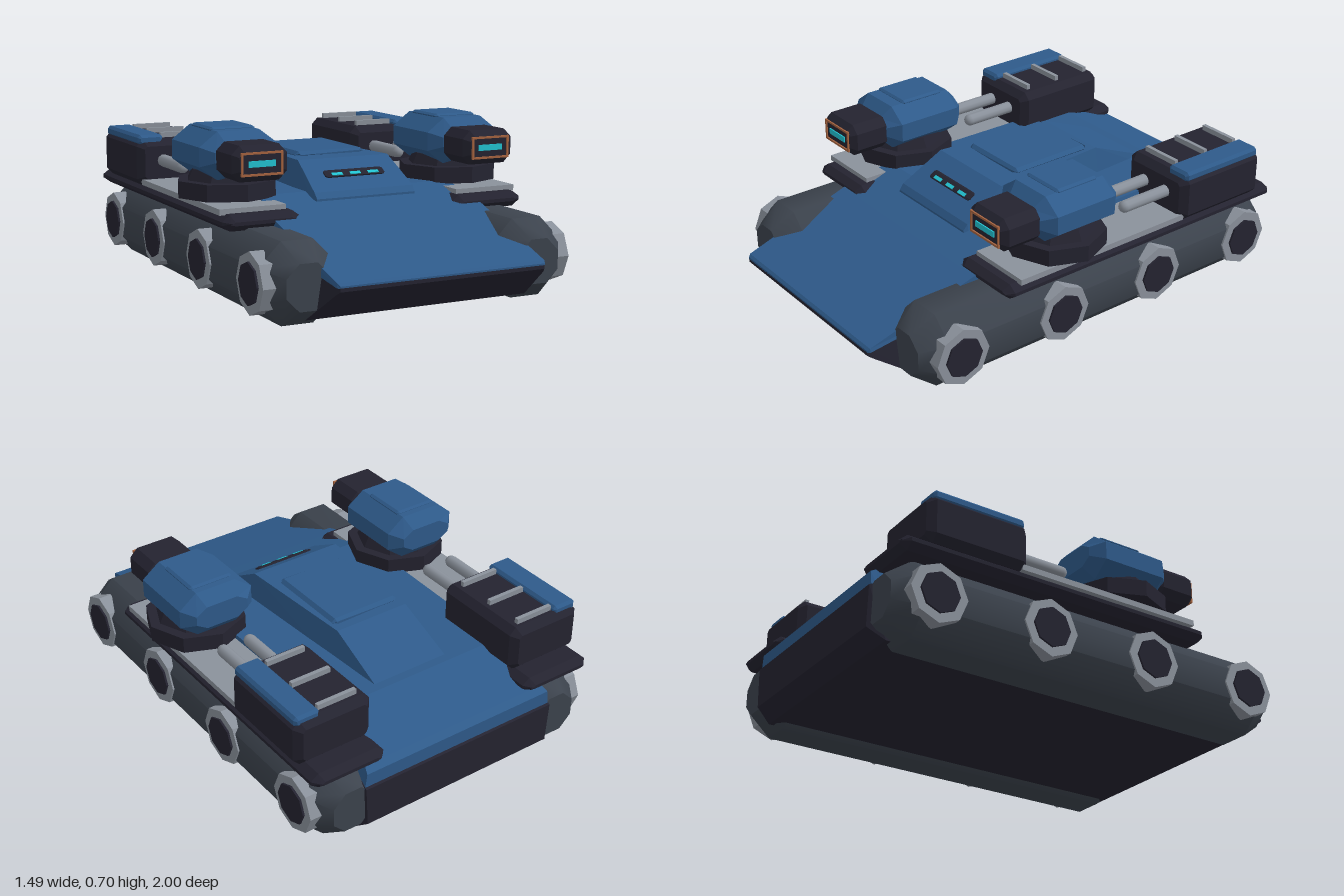
import * as THREE from 'three';
import { toCreasedNormals } from 'three/addons/utils/BufferGeometryUtils.js';

const material = (name, color) => {
  const m = new THREE.MeshStandardMaterial({ color });
  m.name = name;
  return m;
};

export function createModel() {
  const blue = material('armour blue', 0x2e5a8a);
  const navy = material('dark navy', 0x242330);
  const slate = material('slate grey', 0x3c434d);
  const silver = material('silver grey', 0x8a919b);
  const cyan = material('glowing cyan', 0x22c3d2);
  const copper = material('copper', 0xa5633f);

  const model = new THREE.Group();
  model.name = 'hoverTank';

  const add = (parent, name, geometry, mat, x = 0, y = 0, z = 0) => {
    const mesh = new THREE.Mesh(geometry, mat);
    mesh.name = name;
    mesh.position.set(x, y, z);
    parent.add(mesh);
    return mesh;
  };

  const flat = (geometry) => {
    const g = geometry.index ? geometry.toNonIndexed() : geometry;
    g.computeVertexNormals();
    return g;
  };

  // Joins rings of [x, y, z], ordered back to front, each counter-clockwise from +z
  const loft = (rings) => {
    const out = [];
    const n = rings[0].length;
    for (let i = 0; i < rings.length - 1; i++) {
      for (let j = 0; j < n; j++) {
        const k = (j + 1) % n;
        const [a, b, c, d] = [rings[i][j], rings[i][k], rings[i + 1][k], rings[i + 1][j]];
        out.push(...a, ...b, ...c, ...a, ...c, ...d);
      }
    }
    const back = rings[0], front = rings[rings.length - 1];
    for (let j = 1; j < n - 1; j++) {
      out.push(...back[0], ...back[j + 1], ...back[j]);
      out.push(...front[0], ...front[j], ...front[j + 1]);
    }
    const g = new THREE.BufferGeometry();
    g.setAttribute('position', new THREE.Float32BufferAttribute(out, 3));
    g.computeVertexNormals();
    return g;
  };

  // Four-sided section: z, bottom y, top y, bottom and top half widths
  const slab = ([z, y0, y1, b, t]) => [[-b, y0, z], [b, y0, z], [t, y1, z], [-t, y1, z]];

  // Block with its edges cut by cx, cy and cz
  const bevelBox = (w, h, d, cx, cy = cx, cz = cx) => {
    const ring = (z, ix, iy) => {
      const X = w / 2 - ix, Y = h / 2 - iy;
      const x = w / 2 - cx - ix * 0.4, y = h / 2 - cy - iy * 0.4;
      return [[-x, -Y, z], [x, -Y, z], [X, -y, z], [X, y, z],
        [x, Y, z], [-x, Y, z], [-X, y, z], [-X, -y, z]];
    };
    const ix = Math.min(cx, cz), iy = Math.min(cy, cz);
    return loft([ring(-d / 2, ix, iy), ring(-d / 2 + cz, 0, 0),
      ring(d / 2 - cz, 0, 0), ring(d / 2, ix, iy)]);
  };

  // Hull and deck
  add(model, 'lowerHull', loft([
    [-1, 0.07, 0.245, 0.46, 0.47], [-0.93, 0.02, 0.28, 0.49, 0.47],
    [0.8, 0.02, 0.21, 0.5, 0.47], [0.98, 0.15, 0.185, 0.465, 0.46], [1, 0.165, 0.18, 0.455, 0.455],
  ].map(slab)), navy);
  add(model, 'deck', loft([
    [-0.99, 0.24, 0.31, 0.47, 0.46], [-0.96, 0.24, 0.33, 0.47, 0.45],
    [-0.7, 0.25, 0.42, 0.47, 0.43], [0.27, 0.25, 0.42, 0.48, 0.45],
    [0.5, 0.25, 0.35, 0.48, 0.48], [0.99, 0.18, 0.197, 0.465, 0.462], [1, 0.178, 0.187, 0.455, 0.455],
  ].map(slab)), blue);

  // Cabin with roof panel and slotted visor
  add(model, 'cabin', loft([
    [-0.66, 0.38, 0.42, 0.19, 0.18], [-0.4, 0.38, 0.53, 0.205, 0.175],
    [0.155, 0.38, 0.535, 0.24, 0.215], [0.345, 0.38, 0.425, 0.242, 0.232], [0.365, 0.38, 0.4, 0.235, 0.23],
  ].map(slab)), blue);
  add(model, 'roofPanel', bevelBox(0.33, 0.03, 0.4, 0.015), blue, 0, 0.537, -0.16);
  const visor = new THREE.Group();
  visor.name = 'visor';
  visor.position.set(0, 0.482, 0.252);
  visor.rotation.x = 0.525;
  model.add(visor);
  add(visor, 'visorSlot', bevelBox(0.28, 0.012, 0.044, 0.02, 0.003, 0.008), navy);
  for (const x of [-0.085, 0, 0.085]) {
    add(visor, 'visorLight', new THREE.BoxGeometry(0.05, 0.008, 0.016), cyan, x, 0.004, 0.01);
  }

  const podProfile = [[0, -0.985], [0.1, -0.985], [0.178, -0.88], [0.178, 0.77], [0.1, 0.87], [0, 0.87]]
    .map(([r, z]) => new THREE.Vector2(r, z));
  const podShape = toCreasedNormals(
    new THREE.LatheGeometry(podProfile, 8, Math.PI / 8).rotateX(Math.PI / 2), 0.9);
  const wheel = (r, w) => flat(new THREE.CylinderGeometry(r, r, w, 8).rotateZ(Math.PI / 2));
  const ring = (rt, rb, h) => flat(new THREE.CylinderGeometry(rt, rb, h, 8));

  for (const s of [1, -1]) {
    const side = new THREE.Group();
    side.name = s > 0 ? 'leftSide' : 'rightSide';
    model.add(side);
    const put = (name, g, mat, x, y, z) => add(side, name, g, mat, s * x, y, z);

    // Side pod and wheels
    put('sidePod', podShape, slate, 0.52, 0.165, 0);
    for (const z of [0.71, 0.2, -0.31, -0.82]) {
      put('wheelRim', wheel(0.125, 0.06), silver, 0.662, 0.165, z);
      put('wheelHub', wheel(0.086, 0.08), navy, 0.661, 0.165, z);
    }

    // Fender with tread plate
    put('fender', bevelBox(0.34, 0.065, 1.47, 0.035, 0.025, 0.03), navy, 0.525, 0.352, -0.245);
    put('fenderPlate', new THREE.BoxGeometry(0.29, 0.025, 0.87), silver, 0.545, 0.392, -0.01);

    // Gun turret on octagonal bearings
    put('turretBase', ring(0.215, 0.215, 0.07), navy, 0.53, 0.445, 0.13);
    put('turretFoot', ring(0.15, 0.15, 0.03), silver, 0.53, 0.4, 0.13);
    put('turretNeck', ring(0.15, 0.175, 0.05), navy, 0.53, 0.5, 0.13);
    put('turretHead', bevelBox(0.345, 0.2, 0.395, 0.08, 0.06, 0.05), blue, 0.53, 0.59, 0.108);
    put('turretTopPlate', bevelBox(0.2, 0.02, 0.21, 0.012, 0.008, 0.01), blue, 0.53, 0.69, 0.095);
    put('gunBlock', bevelBox(0.24, 0.145, 0.2, 0.035, 0.035, 0.025), navy, 0.53, 0.583, 0.38);

    // Muzzle frame and light
    for (const e of [-1, 1]) {
      put('muzzleFrameBar', new THREE.BoxGeometry(0.18, 0.009, 0.009), copper, 0.53, 0.583 + e * 0.043, 0.482);
      put('muzzleFramePost', new THREE.BoxGeometry(0.009, 0.095, 0.009), copper, 0.53 + e * 0.086, 0.583, 0.482);
    }
    put('muzzleLight', new THREE.BoxGeometry(0.116, 0.025, 0.009), cyan, 0.53, 0.583, 0.481);

    // Engine box, lid, cooling bars and pipes
    put('engineBox', bevelBox(0.355, 0.205, 0.46, 0.03), navy, 0.532, 0.477, -0.652);
    put('engineLid', bevelBox(0.115, 0.045, 0.42, 0.012), blue, 0.645, 0.577, -0.65);
    for (const z of [-0.49, -0.66, -0.83]) {
      put('coolingBar', new THREE.BoxGeometry(0.18, 0.024, 0.018), silver, 0.495, 0.59, z);
    }
    for (const x of [0.595, 0.468]) {
      put('pipe', new THREE.CapsuleGeometry(0.027, 0.28, 4, 10).rotateX(Math.PI / 2), silver, x, 0.485, -0.335);
    }
  }
  return model;
}
